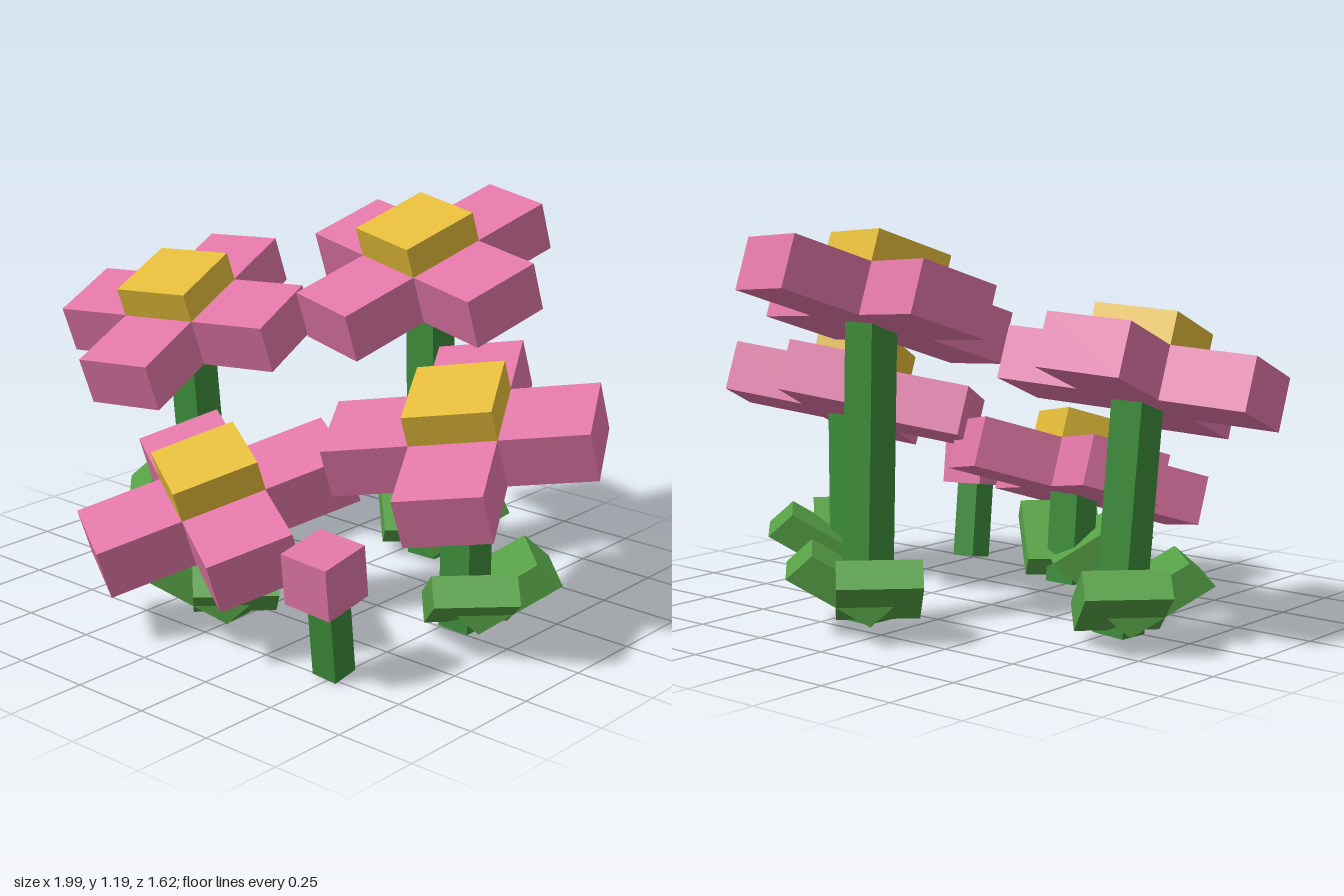
import * as THREE from 'three';

const mat = (color) => new THREE.MeshStandardMaterial({ color, flatShading: true });
const pink = mat(0xe076a6), yellow = mat(0xe3bb3a), stemGreen = mat(0x3c8a3a), leafGreen = mat(0x56a046);
const deg = THREE.MathUtils.degToRad;

function add(parent, name, geometry, material) {
  const mesh = new THREE.Mesh(geometry, material);
  mesh.name = name;
  parent.add(mesh);
  return mesh;
}

function shapeFrom(points) {
  return new THREE.Shape(points.map(([x, y]) => new THREE.Vector2(x, y)));
}

// Extrusion centred on its own depth
function slab(points, depth) {
  const g = new THREE.ExtrudeGeometry(shapeFrom(points), { depth, bevelEnabled: false });
  return g.translate(0, 0, -depth / 2);
}

// Four square petals around a square middle, lying flat
const a = 0.13, b = 0.394;
const petalGeometry = slab([
  [a, a], [a, b], [-a, b], [-a, a], [-b, a], [-b, -a],
  [-a, -a], [-a, -b], [a, -b], [a, -a], [b, -a], [b, a],
], 0.16).rotateX(-Math.PI / 2);

// Leaf that rises outward, drawn in side profile
const leafGeometry = slab([[0.025, 0.033], [0.27, 0.18], [0.193, 0.248], [-0.052, 0.101]], 0.25);

// Square stem between two points
function stem(parent, from, to, width) {
  const p = new THREE.Vector3(...from), q = new THREE.Vector3(...to);
  const dir = q.clone().sub(p);
  const mesh = add(parent, 'stem', new THREE.BoxGeometry(width, dir.length(), width), stemGreen);
  mesh.position.copy(p).add(q).multiplyScalar(0.5);
  mesh.quaternion.setFromUnitVectors(new THREE.Vector3(0, 1, 0), dir.normalize());
}

function flower({ name, base, stemTop, head, yaw, leafAt, leafAngles }) {
  const group = new THREE.Group();
  group.name = name;
  stem(group, base, stemTop, 0.108);

  // Blossom tipped toward the front
  const blossom = new THREE.Group();
  blossom.name = 'blossom';
  blossom.position.set(...head);
  blossom.rotation.set(deg(20), deg(yaw), 0);
  add(blossom, 'petals', petalGeometry, pink);
  add(blossom, 'flowerCentre', new THREE.BoxGeometry(0.262, 0.1, 0.262), yellow).position.y = 0.128;
  group.add(blossom);

  // Two leaves on the outer side
  for (const angle of leafAngles) {
    const leaf = add(group, 'leaf', leafGeometry, leafGreen);
    leaf.position.set(leafAt[0], 0, leafAt[1]);
    leaf.rotation.y = deg(angle);
  }
  return group;
}

const flowers = [
  { name: 'backFlower', base: [0.115, 0.02, -0.437], stemTop: [0.1, 0.95, -0.425],
    head: [0.105, 0.97, -0.395], yaw: -14.3, leafAt: [0.07, -0.44], leafAngles: [45, 135] },
  { name: 'rightFlower', base: [-0.55, 0.015, -0.075], stemTop: [-0.592, 0.74, -0.045],
    head: [-0.59, 0.765, -0.028], yaw: 9.5, leafAt: [-0.55, -0.09], leafAngles: [135, 225] },
  { name: 'frontFlower', base: [-0.03, 0.018, 0.357], stemTop: [-0.03, 0.36, 0.385],
    head: [-0.028, 0.37, 0.406], yaw: -31.5, leafAt: [-0.01, 0.36], leafAngles: [-45, -135] },
  { name: 'leftFlower', base: [0.565, 0.018, -0.03], stemTop: [0.58, 0.59, -0.015],
    head: [0.584, 0.612, 0.009], yaw: 27, leafAt: [0.56, -0.04], leafAngles: [-45, 45] },
];

export function createModel() {
  const model = new THREE.Group();
  model.name = 'flowerBed';
  for (const spec of flowers) model.add(flower(spec));

  // Closed bud on a short leaning stem
  const bud = new THREE.Group();
  bud.name = 'bud';
  stem(bud, [0.49, 0.012, 0.474], [0.512, 0.32, 0.53], 0.086);
  const tip = add(bud, 'budHead', new THREE.BoxGeometry(0.163, 0.163, 0.167), pink);
  tip.position.set(0.515, 0.334, 0.543);
  tip.rotation.set(deg(10), 0, deg(-3.5));
  model.add(bud);
  return model;
}
